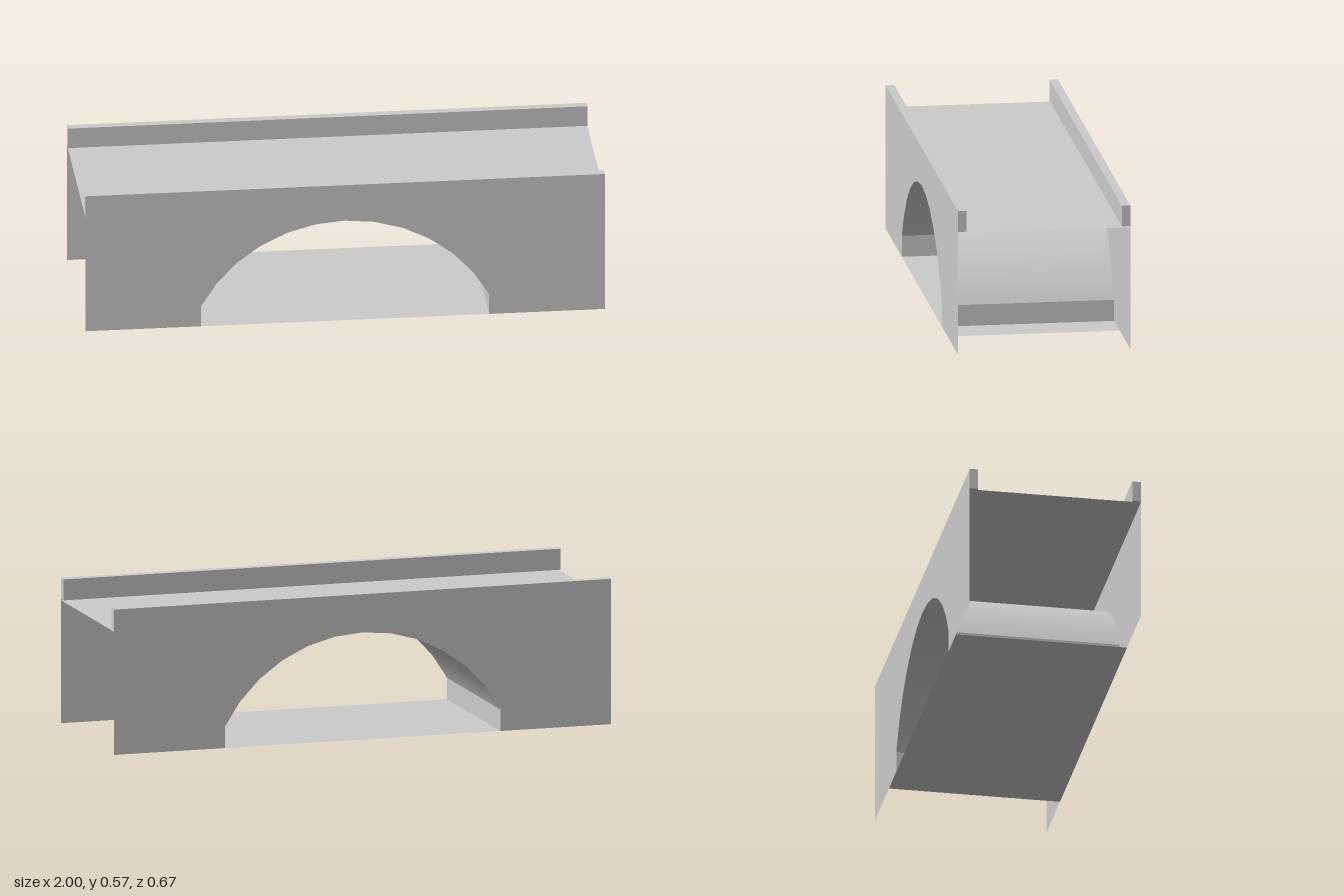
import * as THREE from 'three';

const LENGTH = 2, HALF_DEPTH = 0.333, HEIGHT = 0.567;
const PARAPET_BASE = 0.485, PARAPET_THICK = 0.033, DECK_Y = 0.48;
const SPAN = 0.555, SPRING_Y = 0.083, CROWN_Y = 0.418, ARC_STEPS = 12;

// Circular arc of the arch, from its half span and rise
const rise = CROWN_Y - SPRING_Y;
const radius = (SPAN * SPAN + rise * rise) / (2 * rise);
const centreY = CROWN_Y - radius;
const halfAngle = Math.asin(SPAN / radius);

export function createModel() {
  const model = new THREE.Group();
  model.name = 'archBridge';
  const solid = new THREE.MeshStandardMaterial({ color: 0xcccccc });
  const sheet = new THREE.MeshStandardMaterial({ color: 0xcccccc, side: THREE.DoubleSide });

  const add = (name, geometry, material, x = 0, y = 0, z = 0) => {
    const mesh = new THREE.Mesh(geometry, material);
    mesh.name = name;
    mesh.position.set(x, y, z);
    model.add(mesh);
    return mesh;
  };

  // Side wall outline with the arch cut out of its lower edge
  const outline = new THREE.Shape();
  outline.moveTo(-LENGTH / 2, 0);
  outline.lineTo(-SPAN, 0);
  for (let i = 0; i <= ARC_STEPS; i++) {
    const a = halfAngle * (2 * i / ARC_STEPS - 1);
    outline.lineTo(radius * Math.sin(a), centreY + radius * Math.cos(a));
  }
  outline.lineTo(SPAN, 0);
  outline.lineTo(LENGTH / 2, 0);
  outline.lineTo(LENGTH / 2, PARAPET_BASE);
  outline.lineTo(-LENGTH / 2, PARAPET_BASE);
  const wallGeometry = new THREE.ShapeGeometry(outline);
  const parapetGeometry = new THREE.BoxGeometry(LENGTH, HEIGHT - PARAPET_BASE, PARAPET_THICK);

  // Thin walls, each carrying a solid parapet
  for (const [side, s] of [['front', 1], ['back', -1]]) {
    const wall = add(side + 'Wall', wallGeometry, sheet, 0, 0, s * HALF_DEPTH);
    if (s < 0) wall.rotation.y = Math.PI;
    add(side + 'Parapet', parapetGeometry, solid,
      0, (HEIGHT + PARAPET_BASE) / 2, s * (HALF_DEPTH - PARAPET_THICK / 2));
  }

  // Deck between the walls, and ground strip under the arch
  const flat = (width) => new THREE.PlaneGeometry(width, 2 * HALF_DEPTH).rotateX(-Math.PI / 2);
  add('deck', flat(LENGTH), sheet, 0, DECK_Y, 0);
  add('groundStrip', flat(1.42), sheet);

  // Smooth barrel vault through the bridge
  const vault = new THREE.CylinderGeometry(radius, radius, 2 * HALF_DEPTH, ARC_STEPS, 1, true,
    -halfAngle, 2 * halfAngle).rotateX(-Math.PI / 2);
  add('vault', vault, sheet, 0, centreY, 0);

  // Upright jambs below the vault
  for (const [side, s] of [['left', 1], ['right', -1]]) {
    const jamb = new THREE.PlaneGeometry(2 * HALF_DEPTH, SPRING_Y).rotateY(-s * Math.PI / 2);
    add(side + 'Jamb', jamb, sheet, s * SPAN, SPRING_Y / 2, 0);
  }
  return model;
}
